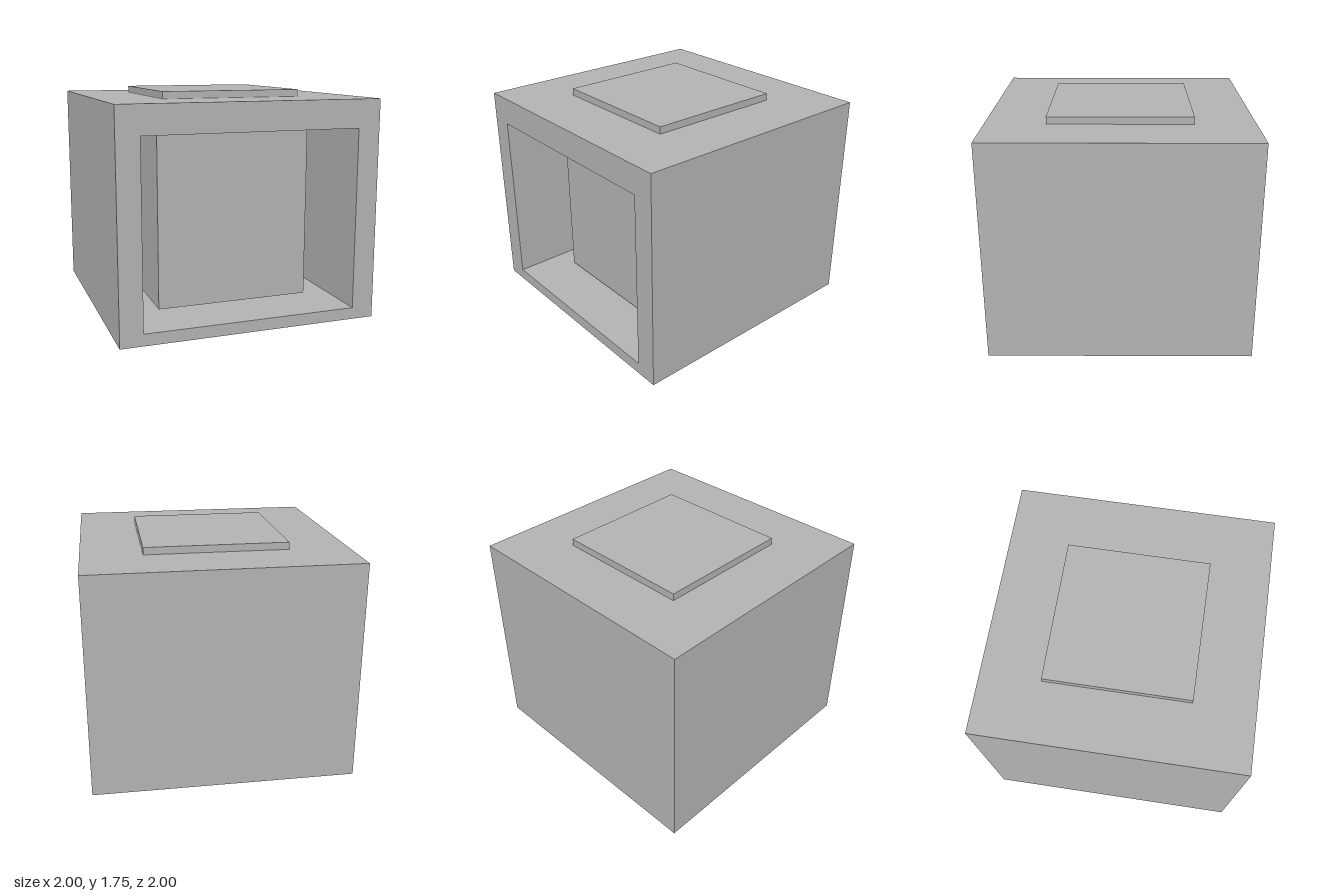
import * as THREE from 'three';

export function createModel() {
  const model = new THREE.Group();
  const grey = new THREE.MeshStandardMaterial({ color: 0xb2b2b2 });
  grey.name = 'grey';

  const add = (name, geometry, x, y, z) => {
    const mesh = new THREE.Mesh(geometry, grey);
    mesh.name = name;
    mesh.position.set(x, y, z);
    model.add(mesh);
  };
  const rectangle = (PathType, x, y0, y1) => new PathType([
    new THREE.Vector2(-x, y0), new THREE.Vector2(x, y0),
    new THREE.Vector2(x, y1), new THREE.Vector2(-x, y1),
  ]);

  const height = 1.69, backThickness = 0.17;

  // Casing: square tube open at the front, closed by a back wall
  const outline = rectangle(THREE.Shape, 1, 0, height);
  outline.holes.push(rectangle(THREE.Path, 0.827, 0.09, 1.475));
  const casing = new THREE.ExtrudeGeometry(outline, { depth: 2 - backThickness, bevelEnabled: false });
  add('casing', casing, 0, 0, backThickness - 1);
  add('backWall', new THREE.BoxGeometry(2, height, backThickness), 0, height / 2, backThickness / 2 - 1);

  // Block set back inside the opening
  add('innerBlock', new THREE.BoxGeometry(1.214, 1.35, 1.2), 0, 0.785, 0);

  // Raised plate on the roof
  add('topPlate', new THREE.BoxGeometry(1.086, 0.055, 1.086), 0, height + 0.0275, 0);

  return model;
}
